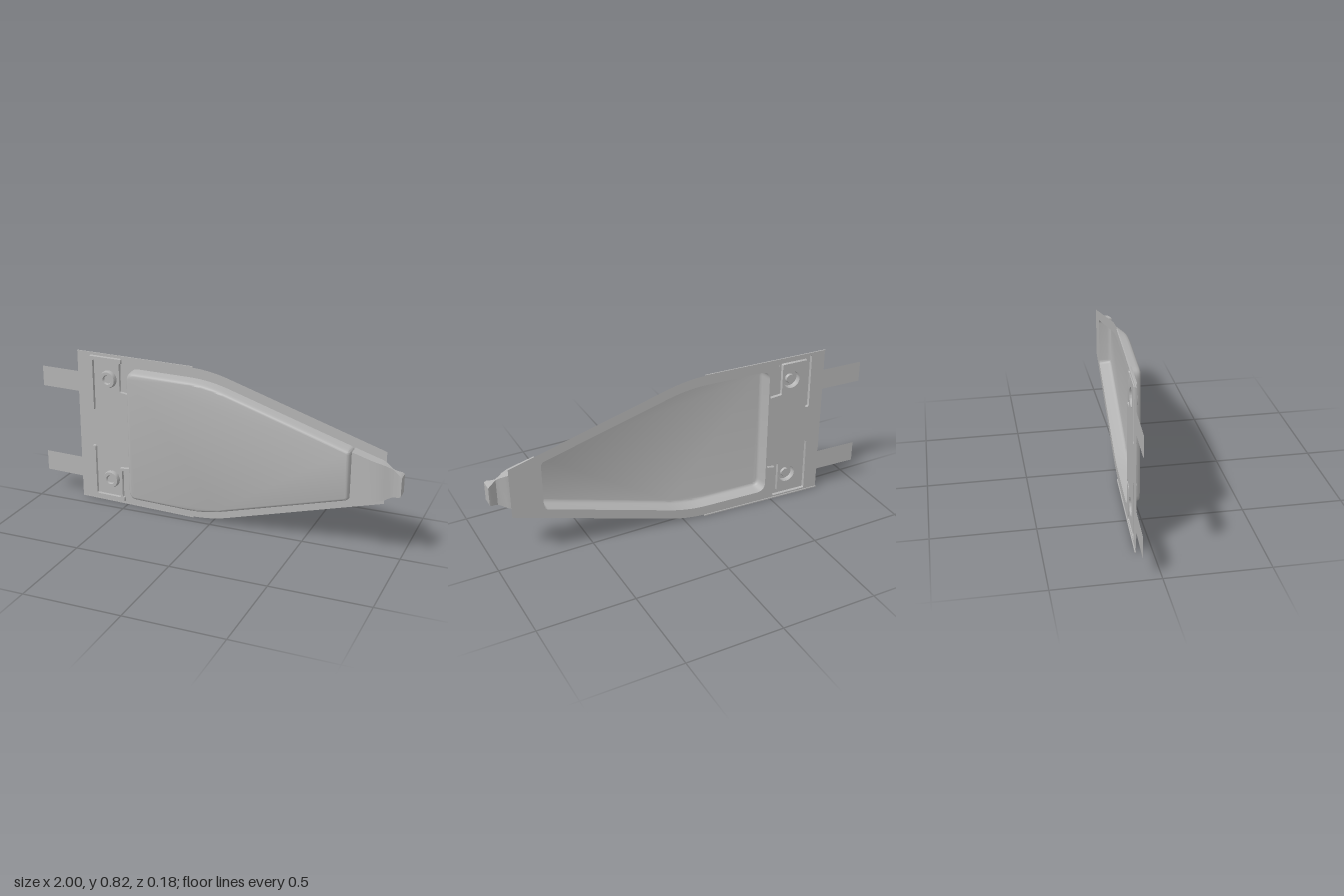
import * as THREE from 'three';
import { toCreasedNormals } from 'three/addons/utils/BufferGeometryUtils.js';

const MID = 0.4125; // height of the mirror line
const metal = new THREE.MeshStandardMaterial({ color: 0xb2b2b2, side: THREE.DoubleSide });
metal.name = 'grey sheet metal';

// the whole sheet leans forward towards its tip: z = -0.04 + 0.05 x
const lean = new THREE.Matrix4().set(1, 0, 0, 0, 0, 1, 0, MID, 0.05, 0, 1, -0.04, 0, 0, 0, 1);

// closed outline from corners [x, y, radius], counter-clockwise
function outline(corners) {
  const shape = new THREE.Shape();
  const n = corners.length;
  corners.forEach(([x, y, r], i) => {
    const p = new THREE.Vector2(x, y);
    const toward = (c) => new THREE.Vector2(c[0], c[1]).sub(p).setLength(r).add(p);
    const a = toward(corners[(i + n - 1) % n]);
    const b = toward(corners[(i + 1) % n]);
    if (i === 0) shape.moveTo(a.x, a.y);
    else shape.lineTo(a.x, a.y);
    shape.quadraticCurveTo(x, y, b.x, b.y);
  });
  const pts = shape.getPoints(7);
  if (pts[0].distanceTo(pts[pts.length - 1]) < 1e-6) pts.pop();
  return THREE.ShapeUtils.isClockWise(pts) ? pts.reverse() : pts;
}

// move an outline inwards
function inset(pts, d) {
  const n = pts.length;
  return pts.map((p, i) => {
    const u = p.clone().sub(pts[(i + n - 1) % n]).normalize();
    const v = pts[(i + 1) % n].clone().sub(p).normalize();
    const m = new THREE.Vector2(-u.y - v.y, u.x + v.x).normalize();
    const k = Math.max(0.5, m.x * -u.y + m.y * u.x);
    return p.clone().addScaledVector(m, d / k);
  });
}

function fromPositions(pos, crease) {
  const g = new THREE.BufferGeometry();
  g.setAttribute('position', new THREE.Float32BufferAttribute(pos, 3));
  g.computeVertexNormals();
  return toCreasedNormals(g, crease);
}

// pressed form: walls through rings of [inset, depth], closed by a face
function pressed(pts, rings) {
  const pos = [];
  const loops = rings.map(([d, z]) => inset(pts, d).map((p) => [p.x, p.y, z]));
  for (let k = 0; k + 1 < loops.length; k++) {
    const a = loops[k], b = loops[k + 1];
    for (let i = 0; i < a.length; i++) {
      const j = (i + 1) % a.length;
      pos.push(...a[i], ...a[j], ...b[j], ...a[i], ...b[j], ...b[i]);
    }
  }
  const top = loops[loops.length - 1];
  const flat = top.map((p) => new THREE.Vector2(p[0], p[1]));
  for (const t of THREE.ShapeUtils.triangulateShape(flat, [])) for (const i of t) pos.push(...top[i]);
  return fromPositions(pos, 0.6);
}

export function createModel() {
  const model = new THREE.Group();
  model.name = 'pressedCover';
  const add = (name, geometry, leaning = true) => {
    if (leaning) geometry.applyMatrix4(lean);
    const mesh = new THREE.Mesh(geometry, metal);
    mesh.name = name;
    model.add(mesh);
  };

  const plateLine = outline([
    [-0.78, -0.407, 0.001], [-0.02, -0.407, 0.11], [0.905, -0.133, 0.001],
    [0.905, 0.133, 0.001], [-0.02, 0.407, 0.11], [-0.78, 0.407, 0.001],
  ]);
  const trayLine = outline([
    [-0.468, -0.355, 0.05], [-0.02, -0.355, 0.11], [0.745, -0.13, 0.02],
    [0.745, 0.13, 0.02], [-0.02, 0.355, 0.11], [-0.468, 0.355, 0.05],
  ]);
  // bracket-shaped bead framing each half of the mounting end
  const bead = (s) => outline([
    [-0.706, 0.1, 0.01], [-0.706, 0.398, 0.01], [-0.515, 0.398, 0.006], [-0.515, 0.37, 0.006],
    [-0.524, 0.37, 0.003], [-0.524, 0.222, 0.006], [-0.476, 0.215, 0.006], [-0.476, 0.198, 0.006],
    [-0.542, 0.205, 0.006], [-0.542, 0.373, 0.006], [-0.682, 0.373, 0.006], [-0.682, 0.1, 0.01],
  ].map(([x, y, r]) => [x, s * y, r]));

  const plate = new THREE.Shape(plateLine);
  plate.holes.push(new THREE.Path(trayLine));

  for (const s of [1, -1]) {
    const side = s > 0 ? 'upper' : 'lower';
    const beadLine = bead(s);
    plate.holes.push(new THREE.Path(beadLine));
    add(side + 'Bead', pressed(beadLine, [[0, 0], [0.003, 0.013]]));

    // fastener boss with a dimple
    const hole = new THREE.Path();
    hole.absarc(-0.595, s * 0.28, 0.046, 0, Math.PI * 2);
    plate.holes.push(hole);
    const profile = [[0.046, 0], [0.046, 0.012], [0.042, 0.024], [0.025, 0.024], [0.02, 0.014], [0.0001, 0.014]];
    const boss = new THREE.LatheGeometry(profile.map(([r, h]) => new THREE.Vector2(r, h)), 28);
    boss.rotateX(Math.PI / 2).translate(-0.595, s * 0.28, 0);
    add(side + 'Boss', toCreasedNormals(boss, 0.4));

    // flat strap and thin edge lip
    add(side + 'Strap', new THREE.PlaneGeometry(0.22, 0.11).translate(-0.89, s * 0.2425, 0));
    add(side + 'Lip', new THREE.BoxGeometry(0.67, 0.006, 0.006).translate(-0.445, s * 0.4095, -0.002));
  }

  add('basePlate', new THREE.ShapeGeometry(plate, 20));
  add('tray', pressed(trayLine, [[0, 0], [0.005, 0.045], [0.008, 0.056], [0.013, 0.062], [0.02, 0.065]]));

  // nose, lofted from box sections [x, half width, back z, front z]
  const sections = [
    [0.752, 0.132, 0.004, 0.07], [0.80, 0.119, 0.009, 0.073], [0.86, 0.103, 0.014, 0.076],
    [0.89, 0.096, 0.017, 0.074], [0.915, 0.088, 0.028, 0.069], [0.94, 0.076, 0.044, 0.06],
    [0.955, 0.069, 0.049, 0.058], [0.975, 0.06, 0.04, 0.074], [0.99, 0.055, 0.031, 0.087],
    [1.0, 0.047, 0.029, 0.089],
  ].map(([x, w, b, f]) => [[x, MID - w, b], [x, MID + w, b], [x, MID + w, f], [x, MID - w, f]]);
  const pos = [];
  const quad = (a, b, c, d) => pos.push(...a, ...b, ...c, ...a, ...c, ...d);
  for (let k = 0; k + 1 < sections.length; k++) {
    const a = sections[k], b = sections[k + 1];
    for (let i = 0; i < 4; i++) quad(a[i], a[(i + 1) % 4], b[(i + 1) % 4], b[i]);
  }
  const first = sections[0], last = sections[sections.length - 1];
  quad(first[3], first[2], first[1], first[0]);
  quad(last[0], last[1], last[2], last[3]);
  add('nose', fromPositions(pos, 0.6), false);

  return model;
}
